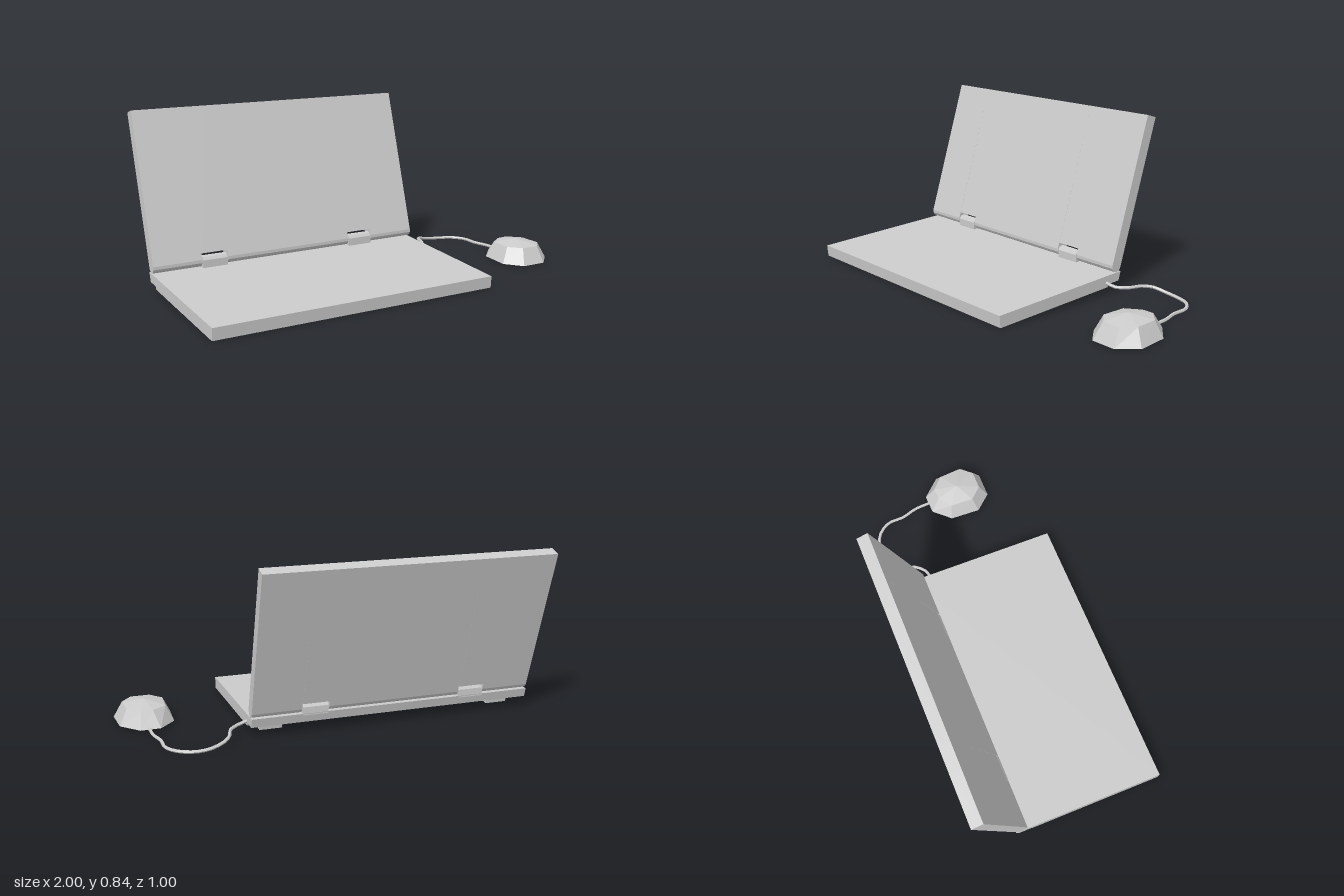
import * as THREE from 'three';

const material = () => new THREE.MeshStandardMaterial({ color: 0xcccccc, flatShading: true });

function addMesh(parent, name, geometry) {
  const mesh = new THREE.Mesh(geometry, material());
  mesh.name = name;
  parent.add(mesh);
  return mesh;
}

// Extrude a side profile of [z, y] points from x0 to x1
function extrudeX(profile, x0, x1) {
  const shape = new THREE.Shape(profile.map(([z, y]) => new THREE.Vector2(-z, y)));
  const geo = new THREE.ExtrudeGeometry(shape, { depth: x1 - x0, bevelEnabled: false });
  return geo.rotateY(Math.PI / 2).translate(x0, 0, 0);
}

// Faceted shell: rings of [x, y, z] points joined in order, closed by two centre points
function ringShell(rings, bottom, top) {
  const n = rings[0].length;
  const points = [...rings.flat(), bottom, top];
  const b = points.length - 2, t = points.length - 1;
  const index = [];
  for (let i = 0; i < n; i++) {
    const j = (i + 1) % n;
    index.push(b, i, j);
    for (let r = 0; r < rings.length - 1; r++) {
      const lo = r * n, hi = lo + n;
      index.push(lo + i, hi + i, lo + j, lo + j, hi + i, hi + j);
    }
    const last = (rings.length - 1) * n;
    index.push(last + i, t, last + j);
  }
  const geo = new THREE.BufferGeometry();
  geo.setAttribute('position', new THREE.Float32BufferAttribute(points.flat(), 3));
  geo.setIndex(index);
  const flat = geo.toNonIndexed();
  flat.computeVertexNormals();
  return flat;
}

export function createModel() {
  const model = new THREE.Group();
  model.name = 'laptopWithMouse';
  const left = 0.423, right = -1;
  const hinges = [[-0.757, -0.623], [0.045, 0.18]];

  // Wedge-tilted base with a raised rear underside
  addMesh(model, 'base', extrudeX([
    [0.495, 0.004], [0.5, 0.062], [-0.275, 0.097], [-0.262, 0.052], [-0.195, 0.05], [-0.185, 0.035],
  ], right, left));

  // Rear feet
  for (const x of [-0.885, 0.308]) {
    addMesh(model, 'foot', extrudeX([
      [-0.13, 0.036], [-0.137, 0.006], [-0.18, 0.004], [-0.187, 0.04],
    ], x - 0.055, x + 0.055));
  }

  // Leaning lid with a rounded lower edge, notched for the hinges
  const lid = new THREE.Group();
  lid.name = 'lid';
  model.add(lid);
  const lidTop = [[-0.441, 0.844], [-0.497, 0.827]];
  const roundEdge = [];
  for (let i = 0; i <= 6; i++) {
    const a = -0.28 - (i / 6) * Math.PI + 0.55;
    roundEdge.push([-0.245 + 0.029 * Math.cos(a), 0.127 + 0.029 * Math.sin(a)]);
  }
  const full = [...roundEdge, lidTop[1], lidTop[0]];
  const notched = [[-0.2275, 0.165], [-0.283, 0.148], lidTop[1], lidTop[0]];
  let x = right;
  for (const [x0, x1] of hinges) {
    addMesh(lid, 'lidPanel', extrudeX(full, x, x0));
    addMesh(lid, 'lidAboveHinge', extrudeX(notched, x0, x1));
    x = x1;
  }
  addMesh(lid, 'lidPanel', extrudeX(full, x, left));

  // Hinge blocks sitting in the notches
  for (const [x0, x1] of hinges) {
    addMesh(model, 'hinge', extrudeX([
      [-0.216, 0.085], [-0.216, 0.132], [-0.226, 0.146], [-0.245, 0.151],
      [-0.264, 0.144], [-0.274, 0.128], [-0.274, 0.088],
    ], x0 + 0.004, x1 - 0.004));
  }

  // Faceted mouse: lower rim, upper rim and a low peak
  const rim = [[0.803, -0.025], [0.9, -0.028], [0.985, 0.065], [0.996, 0.215],
    [0.917, 0.298], [0.79, 0.298], [0.718, 0.215], [0.725, 0.06]];
  const shoulder = [[0.83, 0.025], [0.888, 0.022], [0.948, 0.08], [0.955, 0.195],
    [0.905, 0.256], [0.812, 0.256], [0.757, 0.195], [0.762, 0.075]];
  // The rings run clockwise from above, so reverse them to face outward
  const lower = rim.map(([px, z]) => [px, 0.01 - 0.017 * z, z]);
  const upper = shoulder.map(([px, z]) => [px, 0.087, z]);
  addMesh(model, 'mouse', ringShell([lower, upper], [0.855, 0.001, 0.14], [0.853, 0.11, 0.14]));

  // Cable from the base side to the back of the mouse
  const path = [
    [0.41, 0.06, -0.178], [0.43, 0.056, -0.18], [0.468, 0.047, -0.187], [0.516, 0.045, -0.235],
    [0.537, 0.043, -0.305], [0.57, 0.036, -0.348], [0.634, 0.02, -0.37], [0.703, 0.013, -0.37],
    [0.778, 0.013, -0.342], [0.826, 0.013, -0.278], [0.831, 0.013, -0.187],
    [0.853, 0.013, -0.107], [0.858, 0.013, 0],
  ].map((p) => new THREE.Vector3(...p));
  const curve = new THREE.CatmullRomCurve3(path, false, 'centripetal');
  addMesh(model, 'cable', new THREE.TubeGeometry(curve, 26, 0.008, 6, false));

  return model;
}
